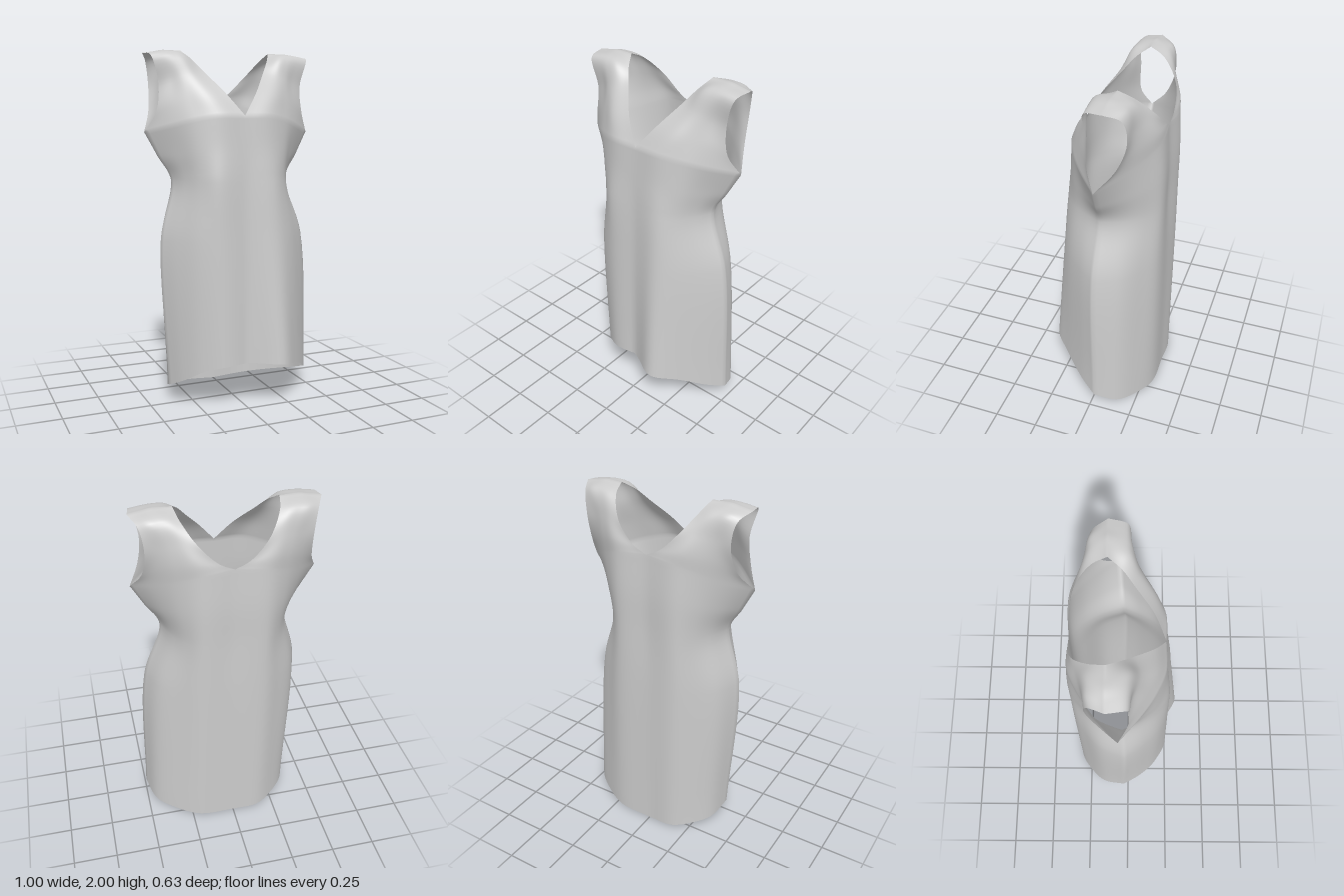
import * as THREE from 'three';
import { mergeGeometries, mergeVertices } from 'three/addons/utils/BufferGeometryUtils.js';

const V = (p) => new THREE.Vector3(...p);

// Half panels as cross-sections from hem to shoulder; each runs from the centre
// (or neckline) out to the side seam (or armhole).
const CORNER = 4; // row where the neckline and armhole begin
const hemSide = [0.44, 0.1, -0.03], hipSide = [0.44, 0.95, -0.02];
const waistSide = [0.355, 1.28, -0.03], ribSide = [0.43, 1.42, -0.04], underarm = [0.5, 1.55, -0.05];
const shoulder = [[0.27, 2, -0.1], [0.33, 2, -0.1], [0.38, 2, -0.1], [0.43, 1.99, -0.1], [0.49, 1.98, -0.1]];

const frontRows = [
  [[0, 0.26, 0.23], [0.17, 0.25, 0.265], [0.28, 0.22, 0.2], [0.38, 0.15, 0.08], hemSide],
  [[0, 0.95, 0.22], [0.16, 0.95, 0.235], [0.27, 0.95, 0.185], [0.37, 0.95, 0.08], hipSide],
  [[0, 1.28, 0.21], [0.16, 1.28, 0.22], [0.25, 1.28, 0.16], [0.31, 1.28, 0.07], waistSide],
  [[0, 1.48, 0.2], [0.15, 1.48, 0.2], [0.26, 1.45, 0.15], [0.34, 1.43, 0.06], ribSide],
  [[0, 1.64, 0.19], [0.15, 1.64, 0.19], [0.27, 1.62, 0.14], [0.37, 1.59, 0.07], underarm],
  [[0.09, 1.76, 0.13], [0.2, 1.74, 0.14], [0.29, 1.72, 0.1], [0.37, 1.7, 0.05], [0.445, 1.66, 0]],
  [[0.18, 1.88, 0.03], [0.25, 1.86, 0.06], [0.31, 1.85, 0.05], [0.37, 1.83, 0.02], [0.43, 1.81, 0]],
  [[0.23, 1.95, -0.03], [0.29, 1.97, 0], [0.35, 1.975, 0], [0.41, 1.97, 0], [0.47, 1.96, 0]],
  shoulder,
];
const backRows = [
  [[0, 0, -0.31], [0.18, 0.01, -0.31], [0.3, 0.03, -0.25], [0.4, 0.055, -0.16], hemSide],
  [[0, 0.95, -0.31], [0.18, 0.95, -0.31], [0.28, 0.95, -0.25], [0.38, 0.95, -0.16], hipSide],
  [[0, 1.28, -0.3], [0.17, 1.28, -0.31], [0.25, 1.28, -0.25], [0.31, 1.28, -0.16], waistSide],
  [[0, 1.5, -0.3], [0.17, 1.5, -0.31], [0.27, 1.48, -0.25], [0.35, 1.45, -0.16], ribSide],
  [[0, 1.72, -0.29], [0.17, 1.7, -0.3], [0.28, 1.66, -0.25], [0.39, 1.6, -0.16], underarm],
  [[0.08, 1.76, -0.29], [0.2, 1.77, -0.29], [0.29, 1.75, -0.25], [0.37, 1.72, -0.2], [0.445, 1.67, -0.15]],
  [[0.18, 1.86, -0.265], [0.25, 1.86, -0.25], [0.31, 1.85, -0.23], [0.37, 1.84, -0.21], [0.43, 1.82, -0.2]],
  [[0.25, 1.96, -0.18], [0.3, 1.965, -0.19], [0.35, 1.965, -0.19], [0.4, 1.96, -0.19], [0.45, 1.94, -0.18]],
  shoulder,
];

// The skirt drapes unevenly: it swings to the left and fills out there in front.
function drape(p) {
  const f = THREE.MathUtils.clamp((1.3 - p.y) / 1.2, 0, 1);
  const front = THREE.MathUtils.clamp(p.z / 0.1, 0, 1);
  const fold = 0.055 * Math.exp(-(((p.x - 0.17) / 0.1) ** 2)) - 0.035 * Math.exp(-(((p.x + 0.2) / 0.12) ** 2));
  p.x += (f * 0.06 * Math.abs(p.x)) / 0.44;
  p.z += f * front * fold;
  return p;
}

// Splines each column up the panel, with a corner at the underarm, then each row across.
function halfPanel(rows, side, face) {
  const across = 24, up = 64, split = 36;
  const columns = rows[0].map((_, c) => {
    const pts = rows.map((r) => V(r[c]));
    return [
      new THREE.CatmullRomCurve3(pts.slice(0, CORNER + 1)),
      new THREE.CatmullRomCurve3(pts.slice(CORNER)),
    ];
  });
  const pos = [], index = [];
  for (let j = 0; j <= up; j++) {
    const section = new THREE.CatmullRomCurve3(columns.map(([body, yoke]) =>
      j <= split ? body.getPoint(j / split) : yoke.getPoint((j - split) / (up - split))));
    for (let i = 0; i <= across; i++) {
      const p = section.getPoint(i / across);
      p.x *= side;
      pos.push(...drape(p).toArray());
      if (i === across || j === up) continue;
      const a = j * (across + 1) + i, b = a + 1, c = a + across + 1, d = c + 1;
      if (side * face > 0) index.push(a, b, d, a, d, c);
      else index.push(a, d, b, a, c, d);
    }
  }
  const g = new THREE.BufferGeometry();
  g.setAttribute('position', new THREE.Float32BufferAttribute(pos, 3));
  g.setIndex(index);
  return g;
}

export function createModel() {
  const group = new THREE.Group();
  group.name = 'sleevelessDress';

  // Four half panels sewn into one smooth cloth shell
  const panels = [];
  for (const side of [1, -1]) {
    panels.push(halfPanel(frontRows, side, 1), halfPanel(backRows, side, -1));
  }
  const cloth = mergeVertices(mergeGeometries(panels), 1e-4);
  cloth.computeVertexNormals();

  const dress = new THREE.Mesh(cloth, new THREE.MeshStandardMaterial({ color: 0xcccccc, side: THREE.DoubleSide }));
  dress.name = 'dressCloth';
  group.add(dress);
  return group;
}
